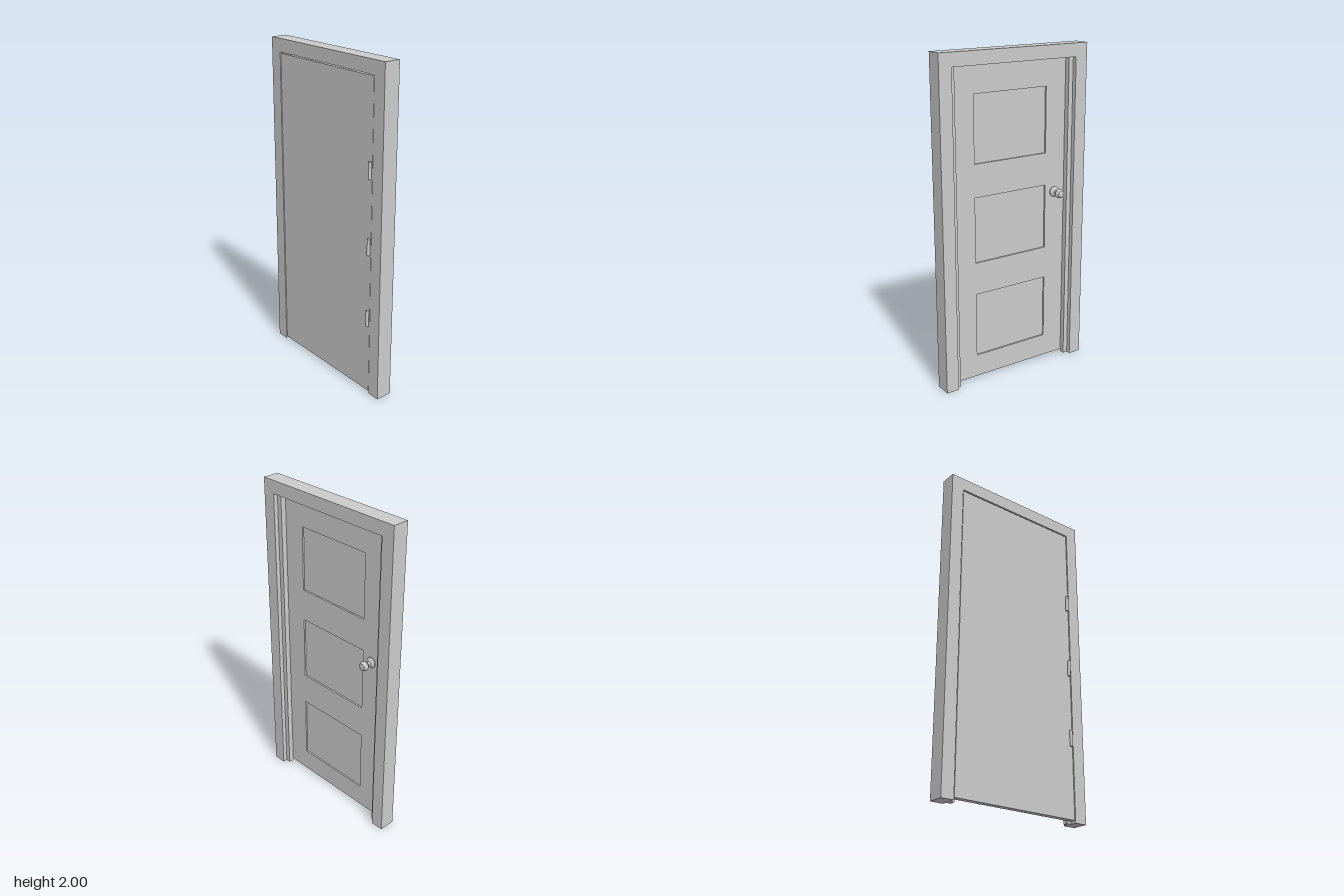
import * as THREE from 'three';

const material = new THREE.MeshStandardMaterial({ color: 0xcccccc });
const facetedMaterial = new THREE.MeshStandardMaterial({ color: 0xcccccc, flatShading: true });

function addMesh(parent, name, geometry, mat = material) {
  const mesh = new THREE.Mesh(geometry, mat);
  mesh.name = name;
  parent.add(mesh);
  return mesh;
}

// Box given by its extents on each axis
function addBox(parent, name, [x0, x1], [y0, y1], [z0, z1]) {
  const mesh = addMesh(parent, name, new THREE.BoxGeometry(x1 - x0, y1 - y0, z1 - z0));
  mesh.position.set((x0 + x1) / 2, (y0 + y1) / 2, (z0 + z1) / 2);
  return mesh;
}

const toPath = (points, PathClass) => new PathClass(points.map(([a, b]) => new THREE.Vector2(a, b)));
const rectangle = (w, y0, y1) => [[-w, y0], [w, y0], [w, y1], [-w, y1]];

// Outline in the door plane, extruded through the thickness from x0 to x1
function extrudeAcross(shape, x0, x1) {
  return new THREE.ExtrudeGeometry(shape, { depth: x1 - x0, bevelEnabled: false })
    .rotateY(Math.PI / 2)
    .translate(x0, 0, 0);
}

export function createModel() {
  const model = new THREE.Group();
  model.name = 'panelDoor';

  const frameBack = -0.0525, frameFront = 0.0475;
  const doorBack = -0.05, doorFront = -0.013, panelFace = -0.023;

  // Frame: two jambs and a head, open at the floor
  const frameShape = toPath([
    [-0.5, 0], [-0.42, 0], [-0.42, 1.92], [0.42, 1.92],
    [0.42, 0], [0.5, 0], [0.5, 2], [-0.5, 2],
  ], THREE.Shape);
  addMesh(model, 'frame', extrudeAcross(frameShape, frameBack, frameFront));

  // Stops on both jambs that the door closes against
  addBox(model, 'leftStop', [doorFront, 0.02], [0, 1.92], [-0.42, -0.39]);
  addBox(model, 'rightStop', [doorFront, 0.02], [0, 1.92], [0.39, 0.42]);

  // Door leaf: a plain slab behind a face with three sunken panels
  const door = new THREE.Group();
  door.name = 'door';
  model.add(door);
  addBox(door, 'doorSlab', [doorBack, panelFace], [0.015, 1.913], [-0.415, 0.415]);
  const faceShape = toPath(rectangle(0.415, 0.015, 1.913), THREE.Shape);
  for (const y of [0.155, 0.755, 1.355]) {
    faceShape.holes.push(toPath(rectangle(0.25, y, y + 0.4), THREE.Path));
  }
  addMesh(door, 'doorFace', extrudeAcross(faceShape, panelFace, doorFront));

  // Knob: rose, neck and grip turned in one profile
  const profile = [
    [0, 0], [0.032, 0], [0.032, 0.006], [0.022, 0.013], [0.012, 0.018], [0.012, 0.037],
    [0.021, 0.042], [0.029, 0.053], [0.029, 0.062], [0.021, 0.077], [0, 0.0795],
  ].map(([r, h]) => new THREE.Vector2(r, h));
  const knob = addMesh(door, 'knob', new THREE.LatheGeometry(profile, 16).rotateZ(-Math.PI / 2), facetedMaterial);
  knob.position.set(doorFront, 1.105, -0.317);

  // Hinge barrels on the back
  for (const y of [0.5, 0.95, 1.4]) {
    const hinge = addMesh(model, 'hinge', new THREE.CylinderGeometry(0.0095, 0.0095, 0.1, 12), facetedMaterial);
    hinge.position.set(-0.0575, y, 0.402);
  }

  return model;
}
